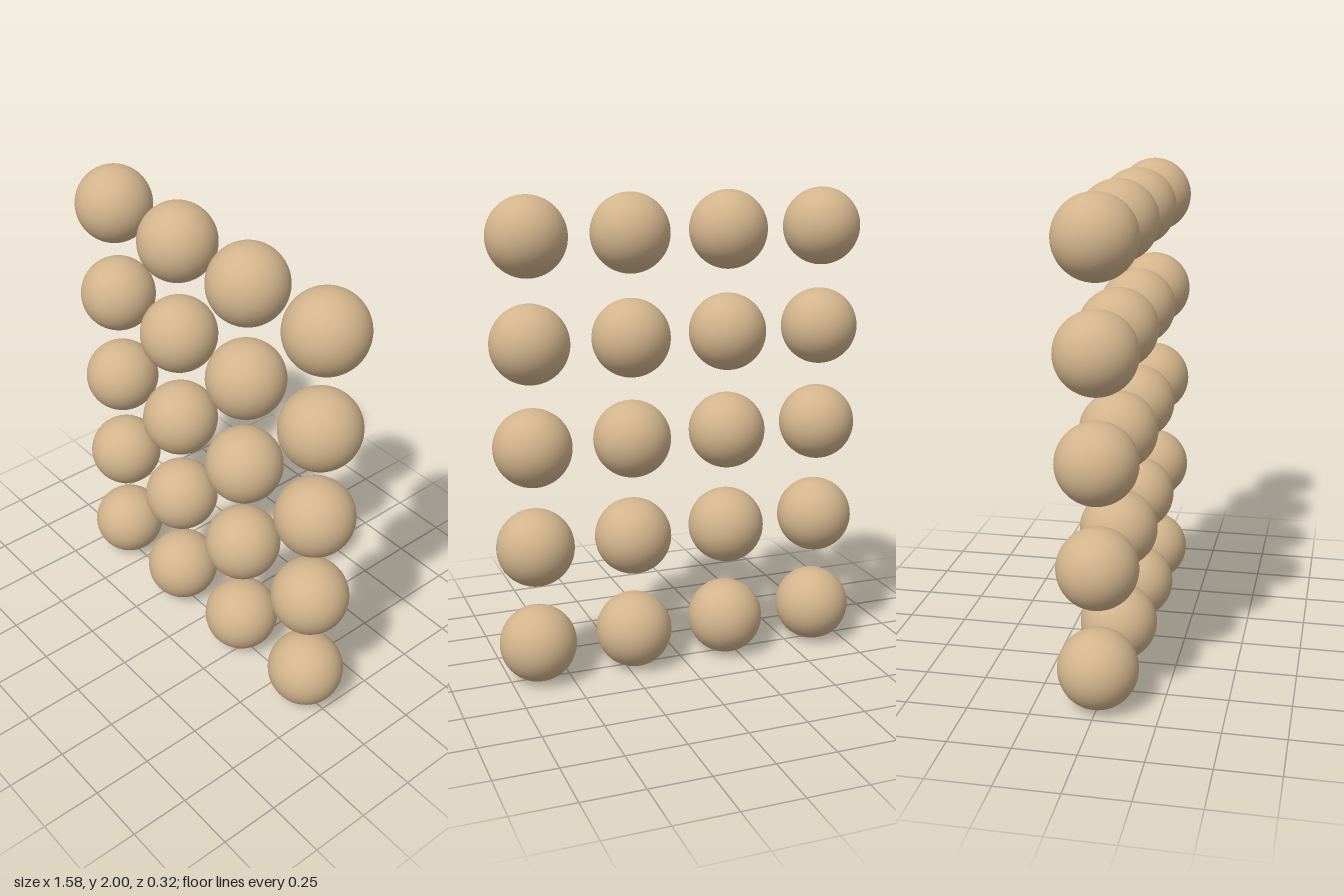
import * as THREE from 'three';

const COLUMNS = 4;
const ROWS = 5;
const RADIUS = 0.16;
const SPACING = 0.42;

export function createModel() {
  const model = new THREE.Group();
  model.name = 'ballGrid';

  const geometry = new THREE.SphereGeometry(RADIUS, 48, 32);
  const material = new THREE.MeshStandardMaterial({ color: 0xd2b48c });

  // Upright grid of separate balls, bottom row resting on the ground
  for (let row = 0; row < ROWS; row++) {
    const rowGroup = new THREE.Group();
    rowGroup.name = `ballRow${row + 1}`;
    rowGroup.position.y = RADIUS + row * SPACING;
    for (let column = 0; column < COLUMNS; column++) {
      const ball = new THREE.Mesh(geometry, material);
      ball.name = `ball${row + 1}_${column + 1}`;
      ball.position.x = (column - (COLUMNS - 1) / 2) * SPACING;
      rowGroup.add(ball);
    }
    model.add(rowGroup);
  }

  return model;
}
